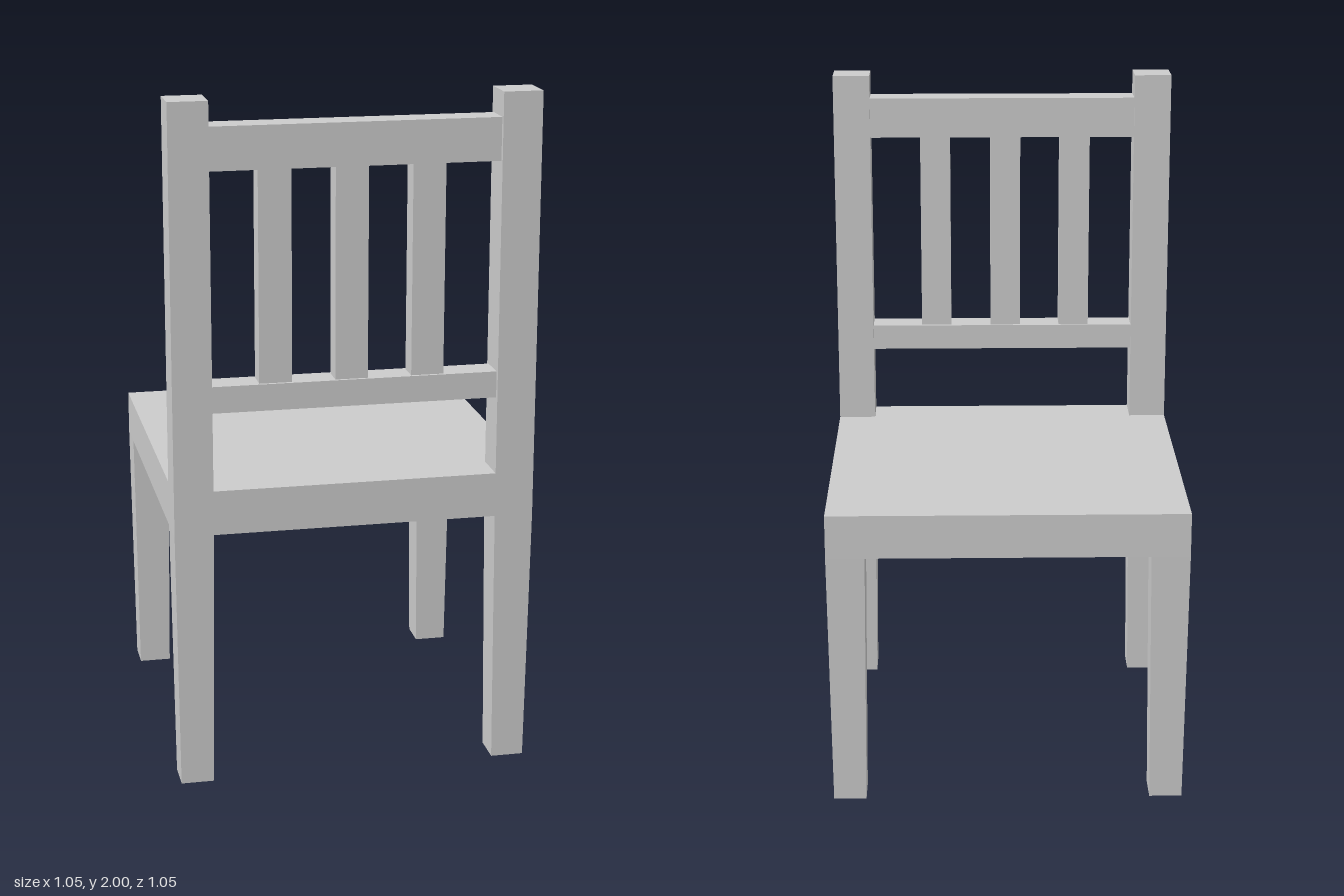
import * as THREE from 'three';

export function createModel() {
  const chair = new THREE.Group();
  chair.name = 'chair';
  const material = new THREE.MeshStandardMaterial({ color: 0xcccccc, flatShading: true });

  // Box given by its limits on each axis
  function box(name, [x0, x1], [y0, y1], [z0, z1]) {
    const geometry = new THREE.BoxGeometry(x1 - x0, y1 - y0, z1 - z0);
    geometry.translate((x0 + x1) / 2, (y0 + y1) / 2, (z0 + z1) / 2);
    const mesh = new THREE.Mesh(geometry, material);
    mesh.name = name;
    chair.add(mesh);
    return mesh;
  }

  const half = 0.525, inner = 0.412;
  const seatBottom = 0.765, seatTop = 0.895;

  box('seat', [-half, half], [seatBottom, seatTop], [-half, half]);

  // Legs, narrowing towards the floor
  const footScale = 0.85, legCentre = (half + inner) / 2;
  for (const sx of [-1, 1]) {
    for (const sz of [-1, 1]) {
      const geometry = new THREE.BoxGeometry(half - inner, seatBottom, half - inner);
      const p = geometry.attributes.position;
      for (let i = 0; i < p.count; i++) {
        if (p.getY(i) < 0) {
          p.setX(i, p.getX(i) * footScale);
          p.setZ(i, p.getZ(i) * footScale);
        }
      }
      geometry.computeVertexNormals();
      const leg = new THREE.Mesh(geometry, material);
      leg.name = sz < 0 ? 'frontLeg' : 'backLeg';
      leg.position.set(sx * legCentre, seatBottom / 2, sz * legCentre);
      chair.add(leg);
    }
  }

  // Backrest posts
  box('rightPost', [-half, -inner], [seatTop, 2], [inner, half]);
  box('leftPost', [inner, half], [seatTop, 2], [inner, half]);

  // Backrest rails
  const railDepth = [0.425, 0.512];
  box('lowerRail', [-inner, inner], [1.12, 1.197], railDepth);
  box('topRail', [-inner, inner], [1.805, 1.928], railDepth);

  // Upright slats between the rails
  for (const x of [-0.228, -0.01, 0.21]) {
    box('slat', [x - 0.047, x + 0.047], [1.197, 1.805], [0.434, 0.503]);
  }

  return chair;
}
